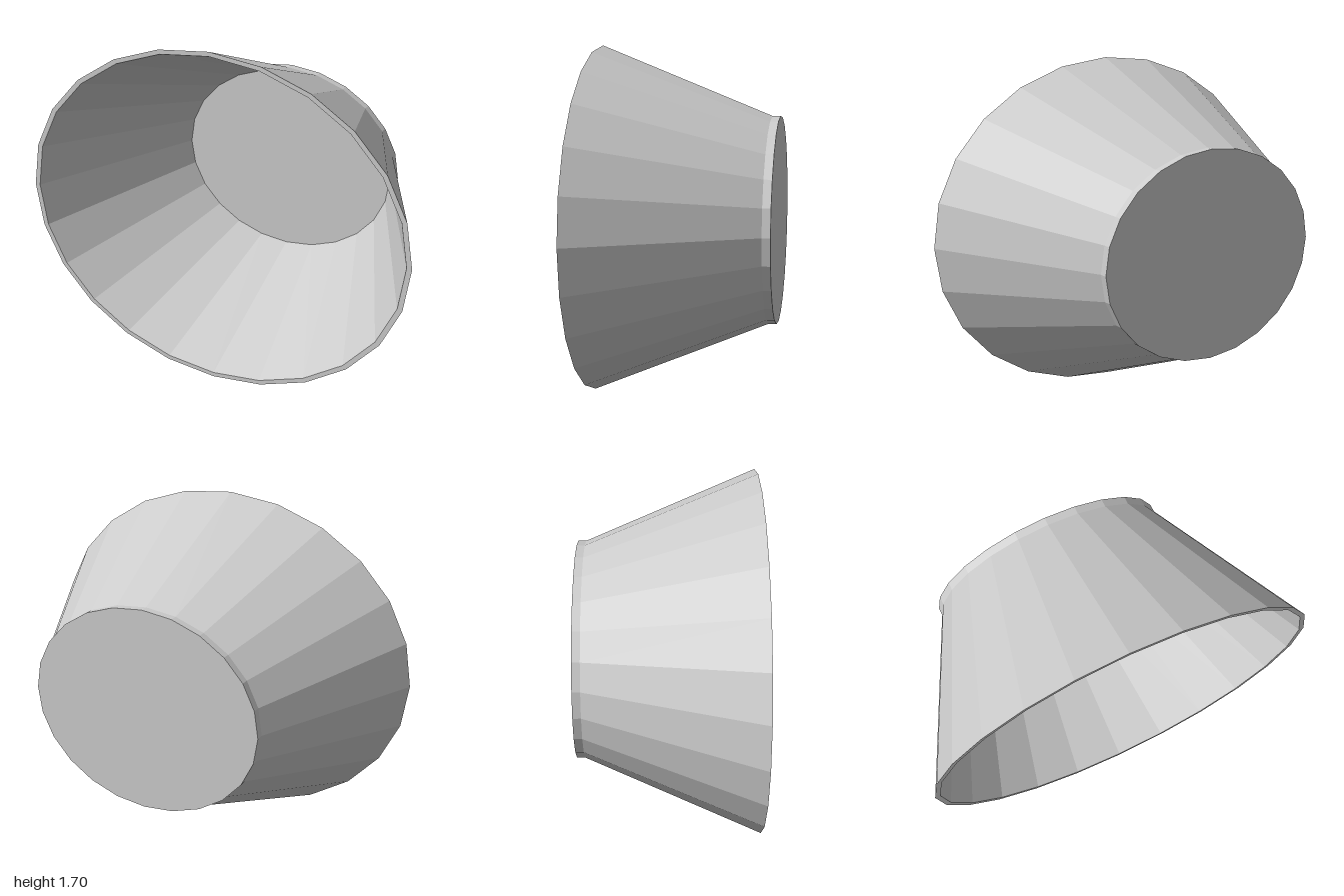
import * as THREE from 'three';

const SIDES = 24;
const SQUASH = 0.85; // height of the oval relative to its width
const CENTRE_Y = 0.85;

// Faceted oval part, turned from [radius, z] points about the z axis
function ovalPart(name, profile) {
  const points = profile.map(([r, z]) => new THREE.Vector2(r, z));
  const geometry = new THREE.LatheGeometry(points, SIDES)
    .rotateX(Math.PI / 2)
    .scale(1, SQUASH, 1)
    .translate(0, CENTRE_Y, 0)
    .toNonIndexed();
  geometry.computeVertexNormals();
  const material = new THREE.MeshStandardMaterial({ color: 0xcccccc, flatShading: true });
  const mesh = new THREE.Mesh(geometry, material);
  mesh.name = name;
  return mesh;
}

export function createModel() {
  const group = new THREE.Group();
  group.name = 'ovalBowl';

  // Flared wall: outside, front rim, inside
  group.add(ovalPart('flaredWall', [[0.6, -0.4], [1, 0.44], [0.974, 0.44], [0.572, -0.4]]));

  // Flat base closing the narrow rear end; its front is the bowl floor
  group.add(ovalPart('basePlate', [[0, -0.44], [0.6, -0.44], [0.6, -0.4], [0, -0.4]]));

  return group;
}
